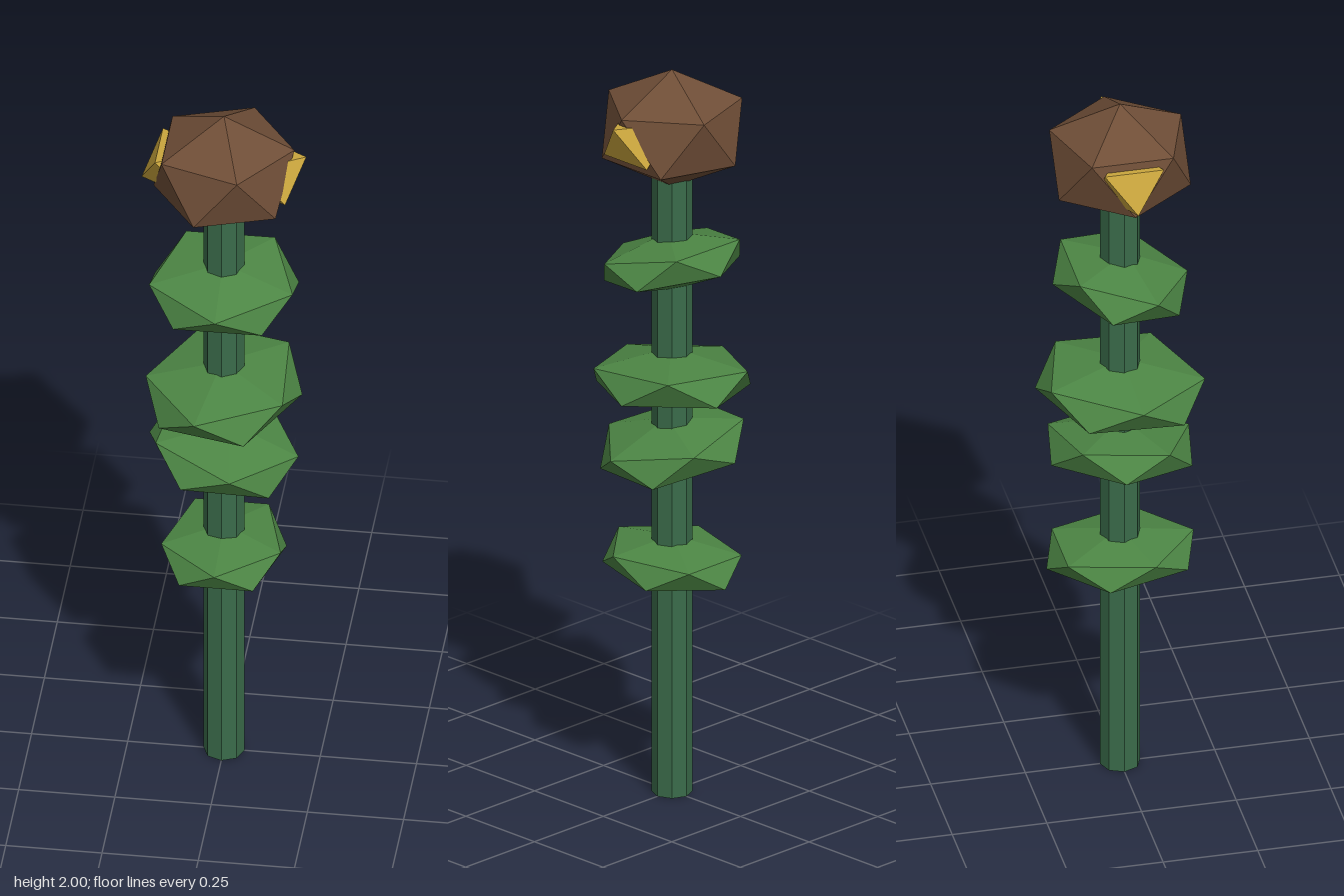
import * as THREE from 'three';

const flat = (name, color) => {
  const m = new THREE.MeshStandardMaterial({ color, flatShading: true });
  m.name = name;
  return m;
};

// Icosahedron standing on a corner, with an upper-ring corner towards +x.
// rx, rz: ring radii; h: half height; phase: turn of the ring from +x to +z in degrees.
function poleIcosahedron(rx, h, rz, phase = 0) {
  const ring = 2 / Math.sqrt(5);
  const g = new THREE.IcosahedronGeometry(1, 0);
  g.rotateZ(-Math.atan(2 / (1 + Math.sqrt(5))));
  g.rotateY(-THREE.MathUtils.degToRad(phase));
  g.scale(rx / ring, h, rz / ring);
  return g;
}

// Octahedron lying on a face, with an upper corner towards +x.
function faceOctahedron(r, halfHeight) {
  const g = new THREE.OctahedronGeometry(1, 0);
  g.rotateY(Math.PI / 4);
  g.rotateZ(Math.atan(Math.SQRT2));
  g.rotateY(Math.PI);
  g.scale(r / Math.sqrt(2 / 3), halfHeight * Math.sqrt(3), r / Math.sqrt(2 / 3));
  return g;
}

export function createModel() {
  const model = new THREE.Group();
  const stemGreen = flat('stemGreen', 0x3a6b4a);
  const leafGreen = flat('leafGreen', 0x4c8544);
  const brown = flat('brown', 0x6f4e37);
  const gold = flat('gold', 0xc9a53d);

  const add = (name, geometry, material, x, y, z) => {
    const mesh = new THREE.Mesh(geometry, material);
    mesh.name = name;
    mesh.position.set(x, y, z);
    model.add(mesh);
    return mesh;
  };

  // Stem
  add('stem', new THREE.CylinderGeometry(0.053, 0.053, 1.76, 8), stemGreen, 0, 0.88, 0);

  // Flattened leaf clusters: height, ring radii, half height, phase, slopes along x and z
  const leaves = [
    [0.645, 0.163, 0.195, 0.066, 18, 0, 0.02],
    [0.963, 0.196, 0.192, 0.076, 8, -0.17, -0.08],
    [1.15, 0.2, 0.218, 0.078, 32, 0.055, -0.08],
    [1.472, 0.196, 0.175, 0.076, 18, 0.01, -0.21],
  ];
  leaves.forEach(([y, rx, rz, h, phase, slopeX, slopeZ], i) => {
    const leaf = add('leafCluster' + (i + 1), poleIcosahedron(rx, h, rz, phase), leafGreen, 0, y, 0);
    leaf.rotation.set(-slopeZ, 0, slopeX);
  });

  // Head
  add('head', poleIcosahedron(0.183, 0.162, 0.183), brown, 0, 1.838, 0);

  // Side buds
  for (const side of [1, -1]) {
    add(side > 0 ? 'leftBud' : 'rightBud', faceOctahedron(0.09, 0.051), gold, side * 0.124, 1.841, 0);
  }
  return model;
}
